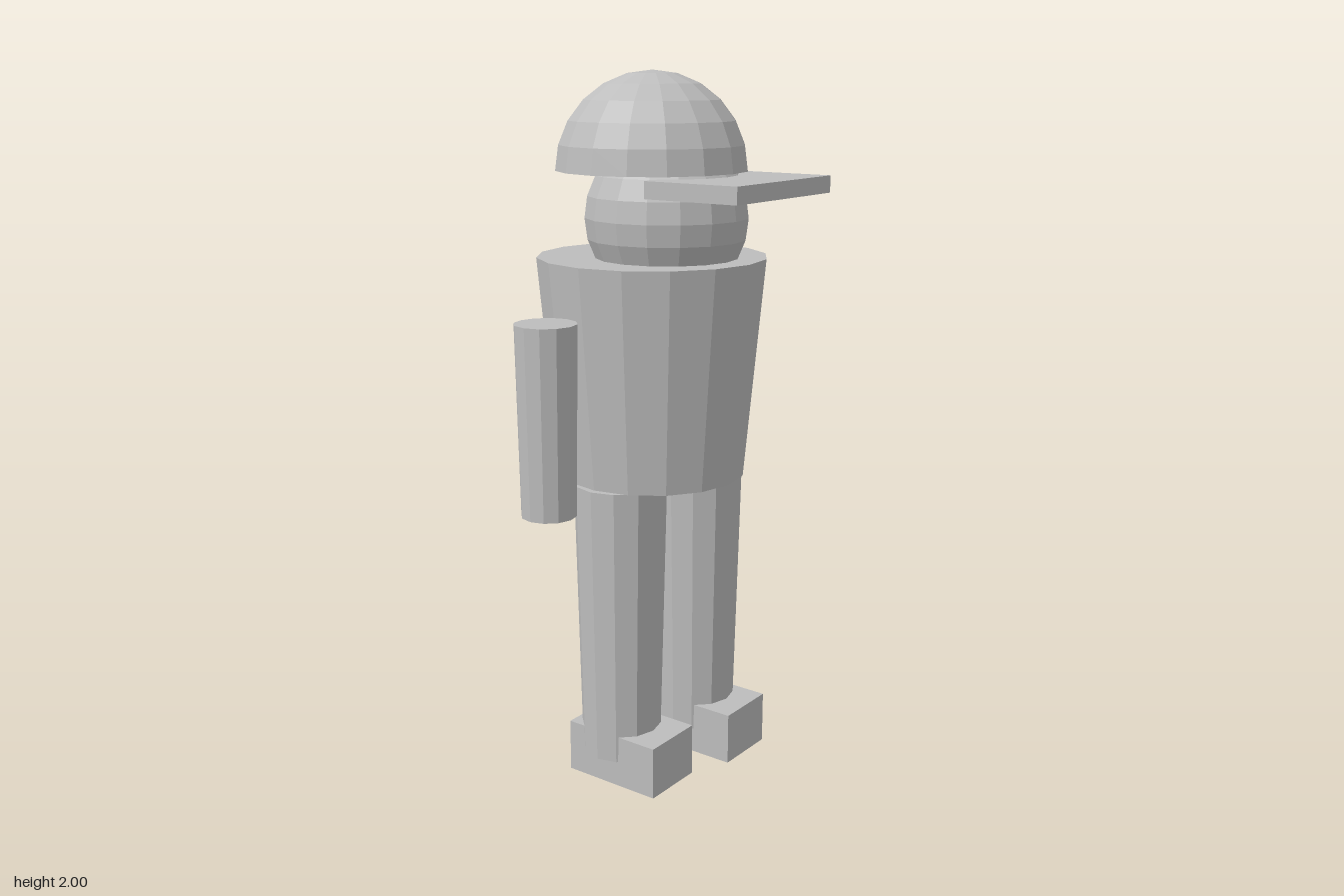
import * as THREE from 'three';

export function createModel() {
  const model = new THREE.Group();
  const grey = new THREE.MeshStandardMaterial({ color: 0xbdbdbd });
  grey.flatShading = true;
  // the helmet is an open shell, so the whole material shows both sides
  grey.side = THREE.DoubleSide;

  function add(name, geometry, x, y, z) {
    const mesh = new THREE.Mesh(geometry, grey);
    mesh.name = name;
    mesh.position.set(x, y, z);
    model.add(mesh);
  }

  // tapered limb or body between two heights
  function taper(name, rTop, rBottom, y0, y1, x, z, sides) {
    add(name, new THREE.CylinderGeometry(rTop, rBottom, y1 - y0, sides), x, (y0 + y1) / 2, z);
  }

  const cx = 0.08, cz = -0.054;

  // body and single arm
  taper('torso', 0.322, 0.266, 0.882, 1.5, cx, cz, 16);
  taper('rightArm', 0.085, 0.076, 0.836, 1.36, -0.319, -0.103, 12);

  // legs and feet, the right one a small step behind
  for (const [side, x, z] of [['left', 0.23, 0], ['right', -0.074, -0.05]]) {
    taper(side + 'Leg', 0.132, 0.114, 0.074, 0.882, x, z, 12);
    add(side + 'Foot', new THREE.BoxGeometry(0.19, 0.152, 0.303), x, 0.076, z + 0.035);
  }

  // head, open helmet shell and visor
  add('head', new THREE.SphereGeometry(0.227, 16, 12), cx, 1.61, -0.003);
  add('helmet', new THREE.SphereGeometry(0.266, 16, 6, 0, Math.PI * 2, 0, Math.PI / 2), cx, 1.734, cz);
  add('visor', new THREE.BoxGeometry(0.454, 0.046, 0.285), cx, 1.702, 0.2325);

  return model;
}
